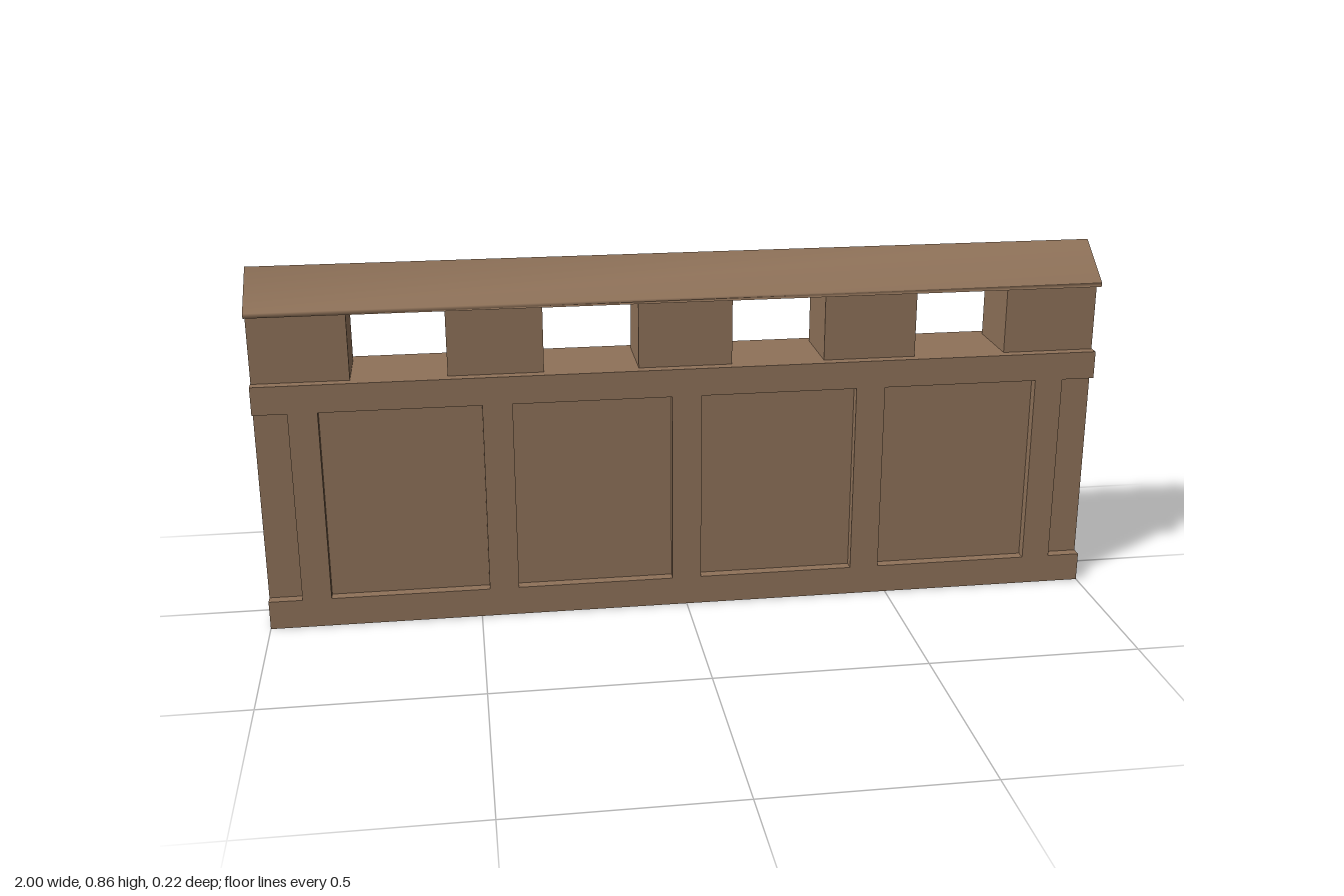
import * as THREE from 'three';

const HALF = 1;          // half the wall length
const CORE_Z = 0.083;    // half depth of the wall core
const FRAME_Z = 0.108;   // half depth including the panel frames
const WALL_TOP = 0.603;
const PITCH = 0.444;     // spacing of posts and panels

const wood = new THREE.MeshStandardMaterial({ color: 0x8f7259 });
wood.name = 'brown wood';

function addMesh(parent, name, geometry) {
  const mesh = new THREE.Mesh(geometry, wood);
  mesh.name = name;
  parent.add(mesh);
  return mesh;
}

function addBox(parent, name, x0, x1, y0, y1, halfZ) {
  const mesh = addMesh(parent, name, new THREE.BoxGeometry(x1 - x0, y1 - y0, 2 * halfZ));
  mesh.position.set((x0 + x1) / 2, (y0 + y1) / 2, 0);
}

// Frame of rails and stiles: four panel openings, and a notch open at each end
function frameGeometry() {
  const low = 0.07, high = 0.536, notch = 0.921;
  const shape = new THREE.Shape([
    [-HALF, 0], [HALF, 0], [HALF, low], [notch, low], [notch, high], [HALF, high],
    [HALF, WALL_TOP], [-HALF, WALL_TOP], [-HALF, high], [-notch, high], [-notch, low], [-HALF, low],
  ].map(([x, y]) => new THREE.Vector2(x, y)));
  for (let i = 0; i < 4; i++) {
    const c = (i - 1.5) * PITCH, w = 0.187;
    shape.holes.push(new THREE.Path([
      new THREE.Vector2(c - w, low), new THREE.Vector2(c - w, high),
      new THREE.Vector2(c + w, high), new THREE.Vector2(c + w, low),
    ]));
  }
  return new THREE.ExtrudeGeometry(shape, { depth: FRAME_Z - CORE_Z, bevelEnabled: false });
}

// Thin gabled roof: a closed profile in (z, y), swept along x with soft normals
const roofProfile = [
  [0.11, 0.776], [0, 0.857], [-0.11, 0.776],
  [-0.11, 0.765], [0, 0.846], [0.11, 0.765],
];

function roofSkin() {
  const positions = [], index = [], n = roofProfile.length;
  for (const x of [-HALF, HALF]) for (const [z, y] of roofProfile) positions.push(x, y, z);
  for (let i = 0; i < n; i++) {
    const j = (i + 1) % n;
    index.push(i, n + i, n + j, i, n + j, j);
  }
  const geometry = new THREE.BufferGeometry();
  geometry.setAttribute('position', new THREE.Float32BufferAttribute(positions, 3));
  geometry.setIndex(index);
  geometry.computeVertexNormals();
  return geometry;
}

export function createModel() {
  const model = new THREE.Group();
  model.name = 'roofedWall';

  addBox(model, 'wallCore', -HALF, HALF, 0, WALL_TOP, CORE_Z);

  // Panel frames on the front and back
  const frame = frameGeometry();
  addMesh(model, 'frontFrame', frame).position.z = CORE_Z;
  const back = addMesh(model, 'backFrame', frame);
  back.rotation.y = Math.PI;
  back.position.z = -CORE_Z;

  // Posts along the top, the outer two cut off at the wall ends
  for (let i = -2; i <= 2; i++) {
    const x0 = Math.max(-HALF, i * PITCH - 0.111);
    const x1 = Math.min(HALF, i * PITCH + 0.111);
    addBox(model, 'post', x0, x1, WALL_TOP, 0.77, CORE_Z);
  }

  // Roof with its two flat gable ends
  const roof = new THREE.Group();
  roof.name = 'roof';
  model.add(roof);
  addMesh(roof, 'roofSlopes', roofSkin());
  const gable = (mirror) => new THREE.ShapeGeometry(
    new THREE.Shape(roofProfile.map(([z, y]) => new THREE.Vector2(mirror * z, y))));
  for (const side of [-1, 1]) {
    const end = addMesh(roof, 'roofEnd', gable(-side));
    end.rotation.y = side * Math.PI / 2;
    end.position.x = side * HALF;
  }
  return model;
}
